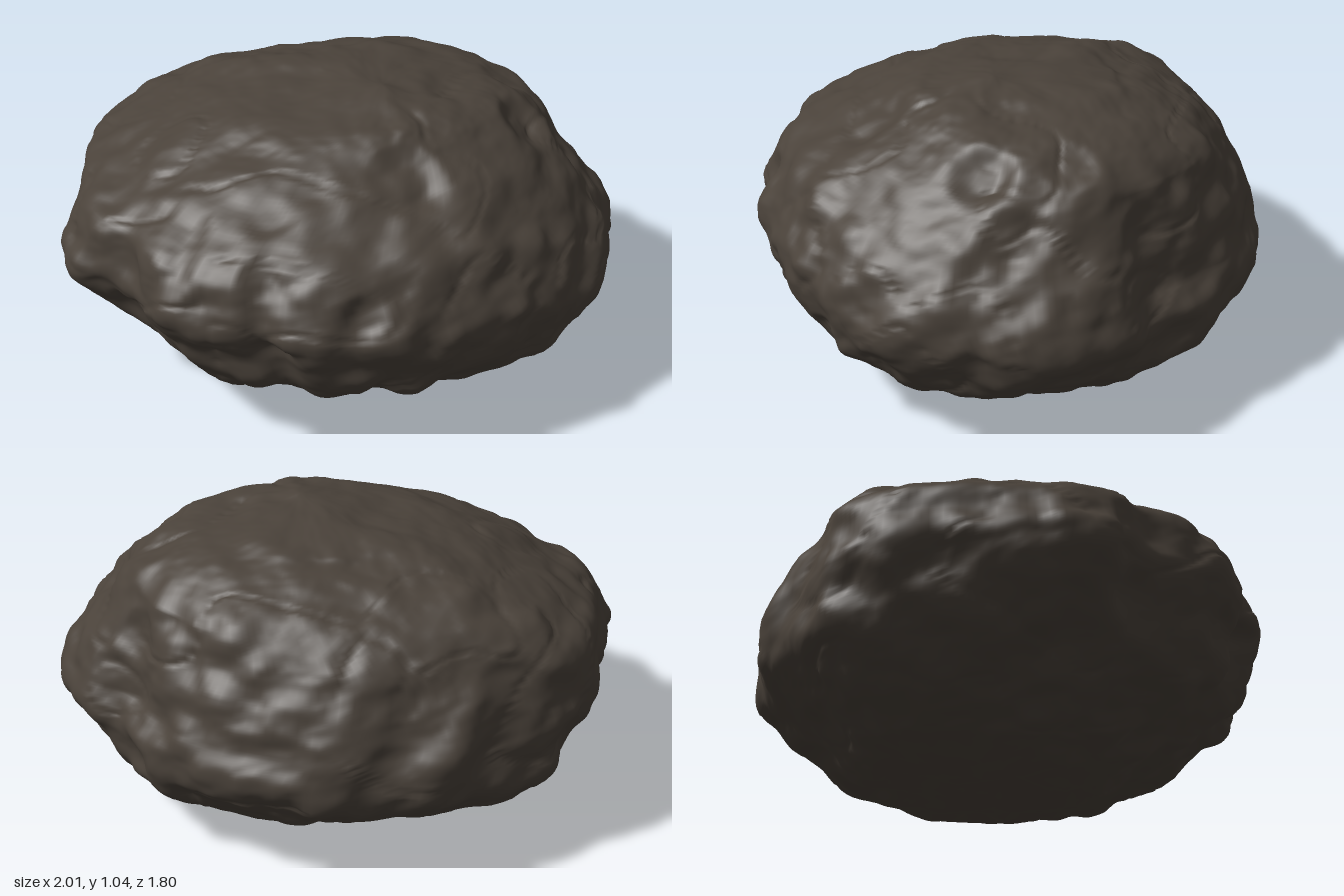
import * as THREE from 'three';

const { lerp, smoothstep } = THREE.MathUtils;

// Height levels of the boulder: y, xMin, xMax, zMin, zMax
const LEVELS = [
  [0, -0.05, -0.05, -0.1, -0.1], [0.02, -0.36, 0.12, -0.42, 0.22], [0.05, -0.46, 0.4, -0.53, 0.37],
  [0.12, -0.6, 0.7, -0.62, 0.52], [0.2, -0.72, 0.86, -0.76, 0.7], [0.29, -0.83, 0.93, -0.86, 0.81],
  [0.4, -0.93, 0.995, -0.89, 0.86], [0.5, -1, 0.97, -0.88, 0.89], [0.6, -0.96, 0.92, -0.85, 0.86],
  [0.7, -0.91, 0.85, -0.8, 0.8], [0.78, -0.78, 0.79, -0.74, 0.7], [0.87, -0.6, 0.73, -0.63, 0.56],
  [0.93, -0.46, 0.65, -0.51, 0.44], [0.97, -0.31, 0.54, -0.4, 0.37], [1, -0.08, 0.32, -0.3, 0.3],
  [1.03, 0.13, 0.13, 0.08, 0.08],
];

// Plan outline, x and z, from the left side round by the front
const PLAN = [
  [1, 0.05], [0.97, 0.25], [0.85, 0.49], [0.7, 0.66], [0.4, 0.82], [0.1, 0.88], [-0.1, 0.89],
  [-0.35, 0.82], [-0.45, 0.7], [-0.54, 0.69], [-0.74, 0.55], [-0.81, 0.32], [-0.95, 0.18], [-1, 0],
  [-0.93, -0.2], [-0.83, -0.4], [-0.79, -0.55], [-0.65, -0.74], [-0.4, -0.8], [-0.25, -0.89],
  [-0.05, -0.86], [0.15, -0.89], [0.4, -0.79], [0.58, -0.67], [0.72, -0.47], [0.79, -0.29],
  [0.9, -0.21], [0.97, -0.1],
];

// Extra fullness of each quarter: sign of x, sign of z, below, above
const QUARTERS = [[1, 1, 0.09, 0.01], [-1, -1, 0.18, 0.12], [-1, 1, 0.05, 0.04], [1, -1, 0.02, 0.03]];

// Shallow craters and hollows: x, y, z, radius, depth
const PITS = [
  [0.1, 0.9, 0.5, 0.15, 0.025], [-0.14, 0.62, 0.84, 0.09, 0.02], [-0.45, 0.45, 0.75, 0.09, 0.02],
  [-0.45, 0.7, 0.65, 0.08, 0.018], [0.45, 0.28, 0.72, 0.1, 0.02], [-0.05, 0.27, 0.8, 0.1, 0.02],
  [0.78, 0.74, 0.15, 0.13, 0.02], [0.35, 0.6, 0.78, 0.1, 0.015], [0.78, 0.7, -0.32, 0.13, 0.025],
  [0.6, 0.88, 0.22, 0.13, 0.03], [0.62, 0.88, -0.06, 0.12, 0.02],
];

// Seeded lattice noise in the range -1 to 1
function hash(x, y, z) {
  let h = Math.imul(x, 374761393) ^ Math.imul(y, 668265263) ^ Math.imul(z, 2063990857);
  h = Math.imul(h ^ (h >>> 13), 1274126177);
  h = Math.imul(h ^ (h >>> 15), 2246822519);
  return ((h ^ (h >>> 16)) >>> 0) / 2147483648 - 1;
}

function noise(p, frequency, seed) {
  // Turned lattice, so that no grain follows the axes
  const x = (0.8 * p.x + 0.6 * p.z) * frequency + seed;
  const t = (0.8 * p.z - 0.6 * p.x) * frequency;
  const y = 0.8 * p.y * frequency + 0.6 * t, z = 0.8 * t - 0.6 * p.y * frequency;
  const X = Math.floor(x), Y = Math.floor(y), Z = Math.floor(z);
  const fade = (s) => s * s * s * (s * (s * 6 - 15) + 10);
  const u = fade(x - X), v = fade(y - Y), w = fade(z - Z);
  const edge = (j, k) => lerp(hash(X, Y + j, Z + k), hash(X + 1, Y + j, Z + k), u);
  return lerp(lerp(edge(0, 0), edge(1, 0), v), lerp(edge(0, 1), edge(1, 1), v), w);
}

// Height of the stone's relief at a point
function relief(p) {
  const rough = 1 - 0.45 * smoothstep(p.y, 0.6, 0.95);
  let d = 0.006 * noise(p, 4, 7) - 0.006;
  d += rough * 0.023 * noise(p, 8.5, 3);
  d += rough * 0.006 * noise(p, 17, 5);
  d += 0.0015 * noise(p, 36, 9);
  // Thin winding cracks
  d -= 0.006 * (1 - smoothstep(Math.abs(noise(p, 4, 20)), 0, 0.08));
  for (const [x, y, z, r, depth] of PITS) {
    const q = Math.hypot(p.x - x, p.y - y, p.z - z) / r;
    d -= depth * (1 - smoothstep(q, 0.4, 1));
  }
  return d;
}

function boulderGeometry() {
  const rows = 165, cols = 230;
  const side = (point) => new THREE.CatmullRomCurve3(LEVELS.map(point), false, 'catmullrom', 0.5);
  const low = side(([y, x, , z]) => new THREE.Vector3(x, y, z));
  const high = side(([y, , x, , z]) => new THREE.Vector3(x, y, z));
  const outline = new THREE.CatmullRomCurve3(
    PLAN.map(([x, z]) => new THREE.Vector3(x, 0, z / 0.89)), true).getSpacedPoints(cols);

  // Stacked rings with a single vertex at each pole
  const position = [], index = [];
  for (let i = 0; i <= rows; i++) {
    const a = low.getPoint(i / rows), b = high.getPoint(i / rows);
    const round = Math.min(1, Math.abs(a.y - 0.48) / 0.35);
    const count = i === 0 || i === rows ? 1 : cols;
    for (let j = 0; j < count; j++) {
      const { x, z } = outline[j];
      const r = Math.hypot(x, z);
      const [, , below, above] = QUARTERS.find(([sx, sz]) => sx * x >= 0 && sz * z >= 0);
      const corner = ((2 * x * z) / (r * r)) ** 2 * (a.y < 0.48 ? below : above);
      const k = lerp(1, 1 / r, 0.8 * round) * (1 + corner * round ** 1.5);
      position.push(
        (a.x + b.x) / 2 + (x * k * (b.x - a.x)) / 2,
        a.y,
        (a.z + b.z) / 2 + (z * k * (b.z - a.z)) / 2);
    }
  }
  const last = position.length / 3 - 1;
  const id = (i, j) => (i === 0 ? 0 : i === rows ? last : 1 + (i - 1) * cols + (j % cols));
  for (let i = 0; i < rows; i++) {
    for (let j = 0; j < cols; j++) {
      const a = id(i, j), b = id(i, j + 1), c = id(i + 1, j), d = id(i + 1, j + 1);
      if (i > 0) index.push(a, c, b);
      if (i < rows - 1) index.push(b, c, d);
    }
  }
  const geometry = new THREE.BufferGeometry();
  geometry.setAttribute('position', new THREE.Float32BufferAttribute(position, 3));
  geometry.setIndex(index);
  geometry.computeVertexNormals();

  // Push the surface in and out along its normals
  const pos = geometry.attributes.position, p = new THREE.Vector3(), n = new THREE.Vector3();
  for (let i = 0; i < pos.count; i++) {
    p.fromBufferAttribute(pos, i);
    n.fromBufferAttribute(geometry.attributes.normal, i);
    p.addScaledVector(n, relief(p));
    pos.setXYZ(i, p.x, p.y, p.z);
  }

  // Stand it on the ground
  geometry.computeBoundingBox();
  geometry.translate(0, -geometry.boundingBox.min.y, 0);
  geometry.computeVertexNormals();
  return geometry;
}

export function createModel() {
  const stone = new THREE.MeshStandardMaterial({ color: 0x4a423a });
  stone.name = 'dark brown stone';
  const boulder = new THREE.Mesh(boulderGeometry(), stone);
  boulder.name = 'boulder';
  const group = new THREE.Group();
  group.name = 'rock';
  group.add(boulder);
  return group;
}
